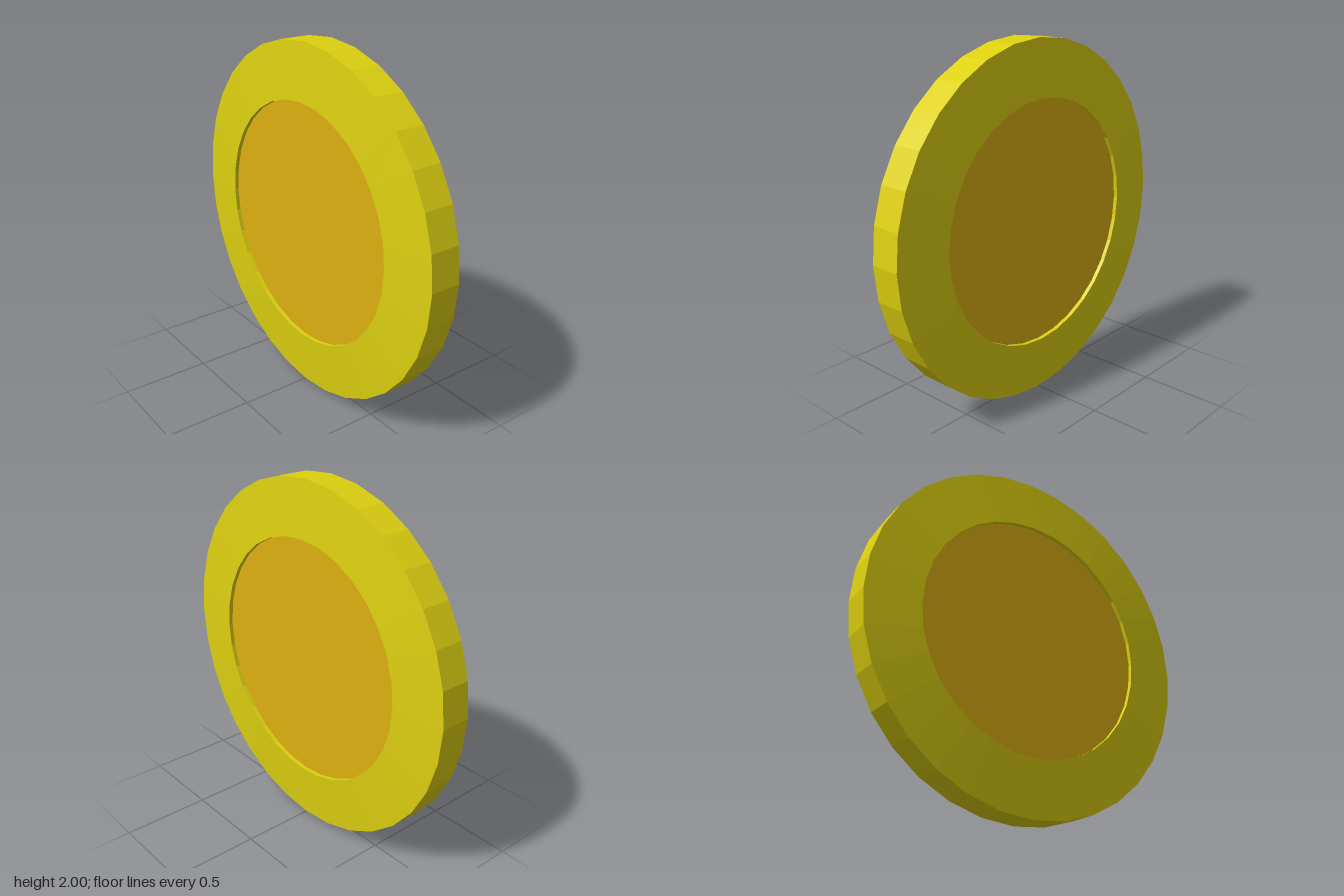
import * as THREE from 'three';

const SIDES = 32;
const R = 1, INNER = 0.69;        // outer radius, radius of the sunken face
const EDGE = 0.087, LIP = 0.11;   // half thickness at the edge and at the lip

export function createModel() {
  const model = new THREE.Group();
  model.name = 'coin';
  const rimMat = new THREE.MeshStandardMaterial({ color: 0xddd010, flatShading: true });
  const faceMat = new THREE.MeshStandardMaterial({ color: 0xddb010, flatShading: true });

  // Rim: edge band, two sloping rings and the short walls of the recesses
  const profile = [
    [INNER, -EDGE], [INNER, -LIP], [R, -EDGE],
    [R, EDGE], [INNER, LIP], [INNER, EDGE],
  ].map(([r, y]) => new THREE.Vector2(r, y));
  const rim = new THREE.Mesh(new THREE.LatheGeometry(profile, SIDES).rotateX(Math.PI / 2), rimMat);
  rim.name = 'rim';
  model.add(rim);

  // Sunken faces, front and back
  for (const [name, side] of [['frontFace', 1], ['backFace', -1]]) {
    const face = new THREE.Mesh(new THREE.CircleGeometry(INNER, SIDES), faceMat);
    face.name = name;
    face.position.z = side * EDGE;
    if (side < 0) face.rotation.y = Math.PI;
    model.add(face);
  }

  // Stand the coin on the ground
  for (const part of model.children) part.position.y = R;
  return model;
}
